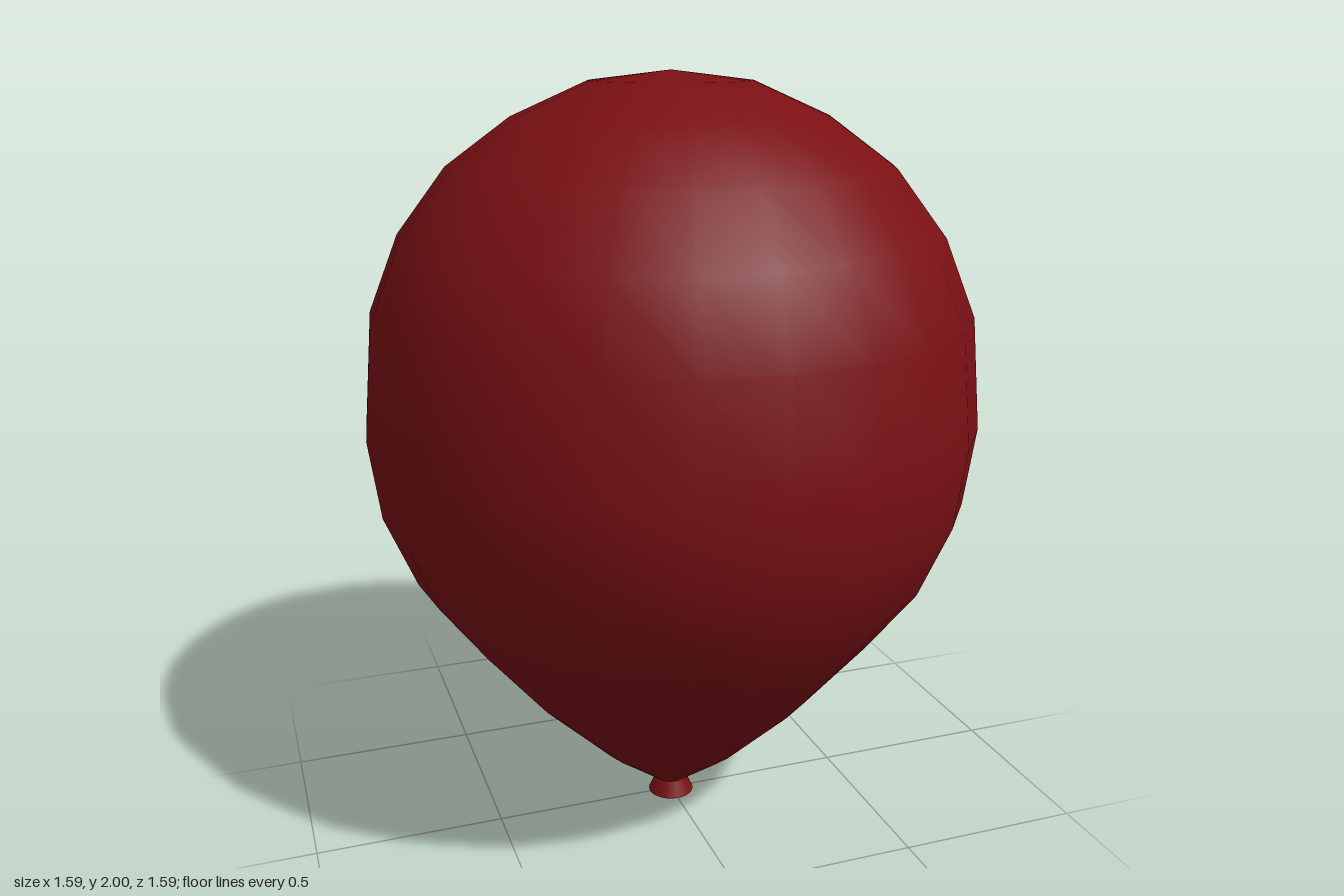
import * as THREE from 'three';

const SEGMENTS = 24;
const RADIUS = 0.795;

// Heights of the rings from the lower tip to the crown, 15 degrees apart
const HEIGHTS = [0.01, 0.17, 0.36, 0.56, 0.73, 0.92, 1.125, 1.41, 1.605, 1.77, 1.89, 1.975, 2];

export function createModel() {
  const group = new THREE.Group();
  group.name = 'balloon';
  const rubber = new THREE.MeshStandardMaterial({ color: 0x7a1014, side: THREE.DoubleSide });

  // Body: sphere radii with the lower half drawn out to a point
  const profile = HEIGHTS.map((y, i) => {
    const r = RADIUS * Math.sin((Math.PI * i) / (HEIGHTS.length - 1));
    return new THREE.Vector2(Math.max(r, 0), y);
  });
  profile[profile.length - 1].x = 0;
  const body = new THREE.Mesh(new THREE.LatheGeometry(profile, SEGMENTS), rubber);
  body.name = 'balloonBody';
  group.add(body);

  // Knot: small flared cone under the tip
  const knot = new THREE.Mesh(new THREE.CylinderGeometry(0.04, 0.063, 0.05, SEGMENTS), rubber);
  knot.name = 'knot';
  knot.position.y = 0.025;
  group.add(knot);

  return group;
}
